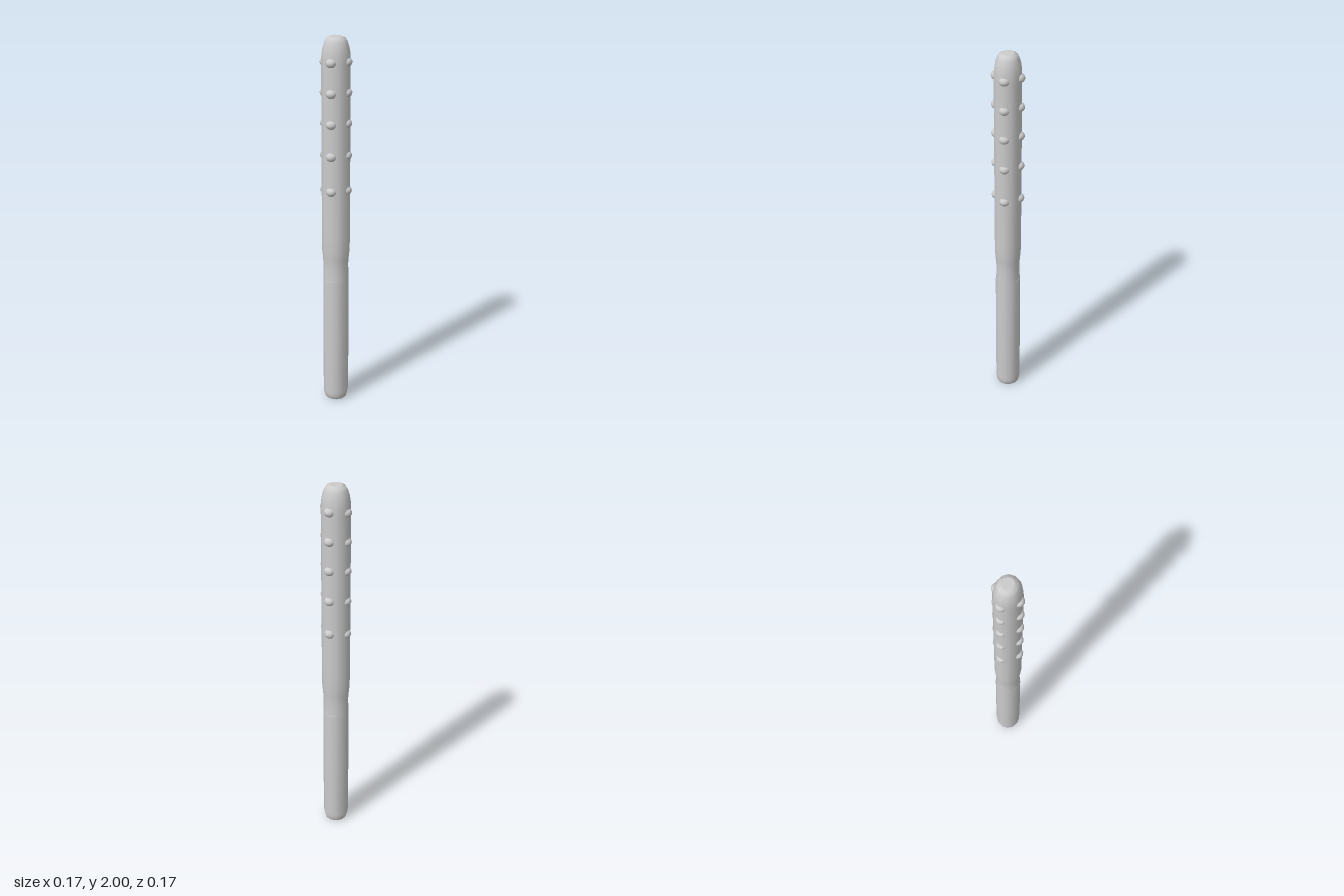
import * as THREE from 'three';

export function createModel() {
  const group = new THREE.Group();
  const grey = new THREE.MeshStandardMaterial({ color: 0xcccccc });

  const add = (name, geometry) => {
    const mesh = new THREE.Mesh(geometry, grey);
    mesh.name = name;
    group.add(mesh);
    return mesh;
  };
  // turned part from [radius, height] pairs, bottom to top
  const lathe = (name, pts) =>
    add(name, new THREE.LatheGeometry(pts.map(([r, y]) => new THREE.Vector2(r, y)), 12));

  // straight grip, chamfered at the foot
  lathe('grip', [[0.062, 0.02], [0.067, 0.045], [0.068, 0.36], [0.067, 0.705], [0.062, 0.712]]);
  lathe('gripFoot', [[0, 0], [0.052, 0], [0.058, 0.005], [0.062, 0.02]]);

  // shaft: narrow neck, long barrel and tapered tip, slightly wider in x
  const shaft = lathe('shaft', [
    [0.064, 0.7], [0.063, 0.74], [0.062, 0.79], [0.065, 0.83], [0.069, 0.87],
    [0.07, 0.95], [0.07, 1.4], [0.07, 1.87], [0.069, 1.91], [0.064, 1.945],
    [0.055, 1.975], [0.046, 1.992], [0.03, 2],
  ]);
  shaft.scale.x = 1.06;
  const cap = add('tipCap', new THREE.CircleGeometry(0.03, 12).rotateX(-Math.PI / 2));
  cap.position.y = 2;
  cap.scale.x = 1.06;

  // five rings of four round studs
  const studGeometry = new THREE.SphereGeometry(0.028, 14, 10);
  for (const y of [1.21, 1.397, 1.565, 1.723, 1.878]) {
    for (let i = 0; i < 4; i++) {
      const a = (i * Math.PI) / 2;
      const stud = add('stud', studGeometry);
      // the studs on the right side sit a little lower
      stud.position.set(Math.sin(a) * 0.058, y - (i === 3 ? 0.01 : 0), Math.cos(a) * 0.058);
      stud.scale.y = 0.87;
    }
  }
  return group;
}
